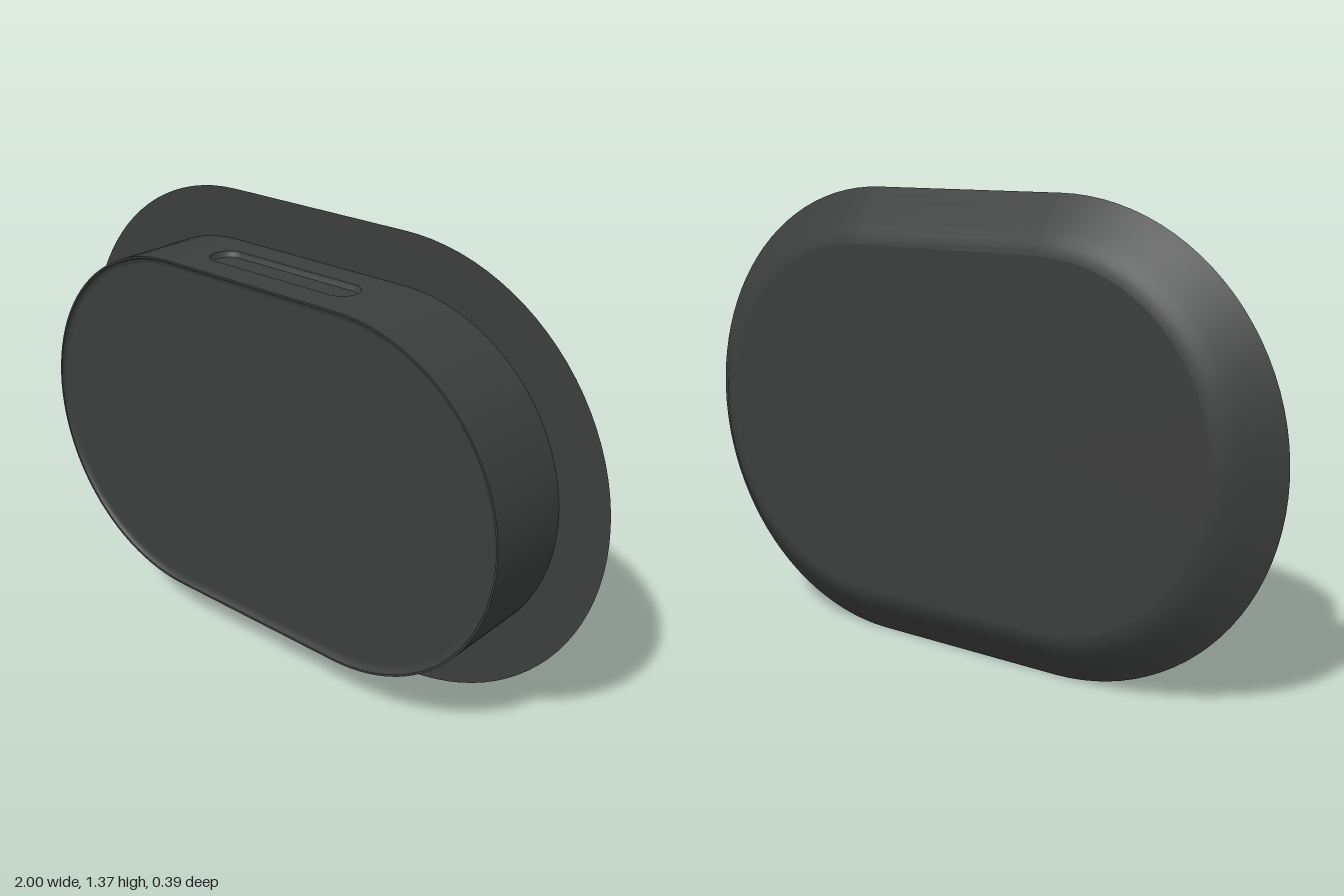
import * as THREE from 'three';

const HALF = 0.315;   // half length of the straight sides
const CY = 0.685;     // height of the centre line
const ARC = 48;       // segments per rounded end

// Stadium outline, counter-clockwise, starting at the left end of the top edge
function stadium(r, half) {
  const pts = [];
  for (const [cx, start] of [[-half, Math.PI / 2], [half, -Math.PI / 2]]) {
    for (let i = 0; i <= ARC; i++) {
      const a = start + Math.PI * i / ARC;
      pts.push(new THREE.Vector2(cx + r * Math.cos(a), r * Math.sin(a)));
    }
  }
  return pts;
}

// Sweeps a profile of [radius, z] pairs around the stadium;
// an open sweep leaves out the flat top side
function sweep(profile, half = HALF, closed = true) {
  const pos = [], index = [], n = 2 * (ARC + 1);
  for (const [r, z] of profile) {
    for (const p of stadium(r, half)) pos.push(p.x, p.y, z);
  }
  for (let i = 0; i < profile.length - 1; i++) {
    for (let j = 0; j < (closed ? n : n - 1); j++) {
      const k = (j + 1) % n;
      const a = i * n + j, b = i * n + k, c = a + n, d = b + n;
      index.push(a, b, d, a, d, c);
    }
  }
  const g = new THREE.BufferGeometry();
  g.setAttribute('position', new THREE.Float32BufferAttribute(pos, 3));
  g.setIndex(index);
  g.computeVertexNormals();
  return g;
}

export function createModel() {
  const group = new THREE.Group();
  const material = new THREE.MeshStandardMaterial({ color: 0x3c3e3d });
  const add = (name, geometry, y = CY, z = 0) => {
    const mesh = new THREE.Mesh(geometry, material);
    mesh.name = name;
    mesh.position.set(0, y, z);
    group.add(mesh);
  };

  const R = 0.533, FRONT = 0.194, LEDGE = -0.083;

  // Flange: flat back, rounded shoulder running to a sharp rim, flat ledge
  add('flangeBack', sweep([[0, -0.194], [0.525, -0.194]]));
  add('flangeShoulder', sweep([
    [0.525, -0.194], [0.54, -0.191], [0.557, -0.184], [0.575, -0.173],
    [0.595, -0.158], [0.62, -0.137], [0.65, -0.112], [0.685, LEDGE],
  ]));
  add('flangeLedge', sweep([[0.685, LEDGE], [R, LEDGE]]));

  // Body wall with a separate flat top that carries the slot
  add('bodyWall', sweep([[R, LEDGE], [R, FRONT]], HALF, false));
  const slotR = 0.053, slotHalf = 0.212, slotZ = 0.053;
  const top = new THREE.Shape([
    new THREE.Vector2(-HALF, -FRONT), new THREE.Vector2(HALF, -FRONT),
    new THREE.Vector2(HALF, -LEDGE), new THREE.Vector2(-HALF, -LEDGE),
  ]);
  top.holes.push(new THREE.Path(
    stadium(slotR, slotHalf).map((p) => new THREE.Vector2(p.x, p.y - slotZ))));
  add('bodyTop', new THREE.ShapeGeometry(top).rotateX(-Math.PI / 2), CY + R);

  // Shallow slot sunk into the top
  const slotPart = (profile) => sweep(profile, slotHalf).rotateX(-Math.PI / 2);
  add('slotWall', slotPart([[slotR, 0], [0.051, -0.008], [0.043, -0.015]]), CY + R, slotZ);
  add('slotFloor', slotPart([[0.043, -0.015], [0, -0.015]]), CY + R, slotZ);

  // Front face, slightly sunk inside a thin lip
  add('frontLip', sweep([[R, FRONT], [0.527, FRONT]]));
  add('frontFillet', sweep([[0.527, FRONT], [0.525, 0.187], [0.519, 0.182], [0.51, 0.18]]));
  add('frontPanel', sweep([[0.51, 0.18], [0, 0.18]]));

  return group;
}
